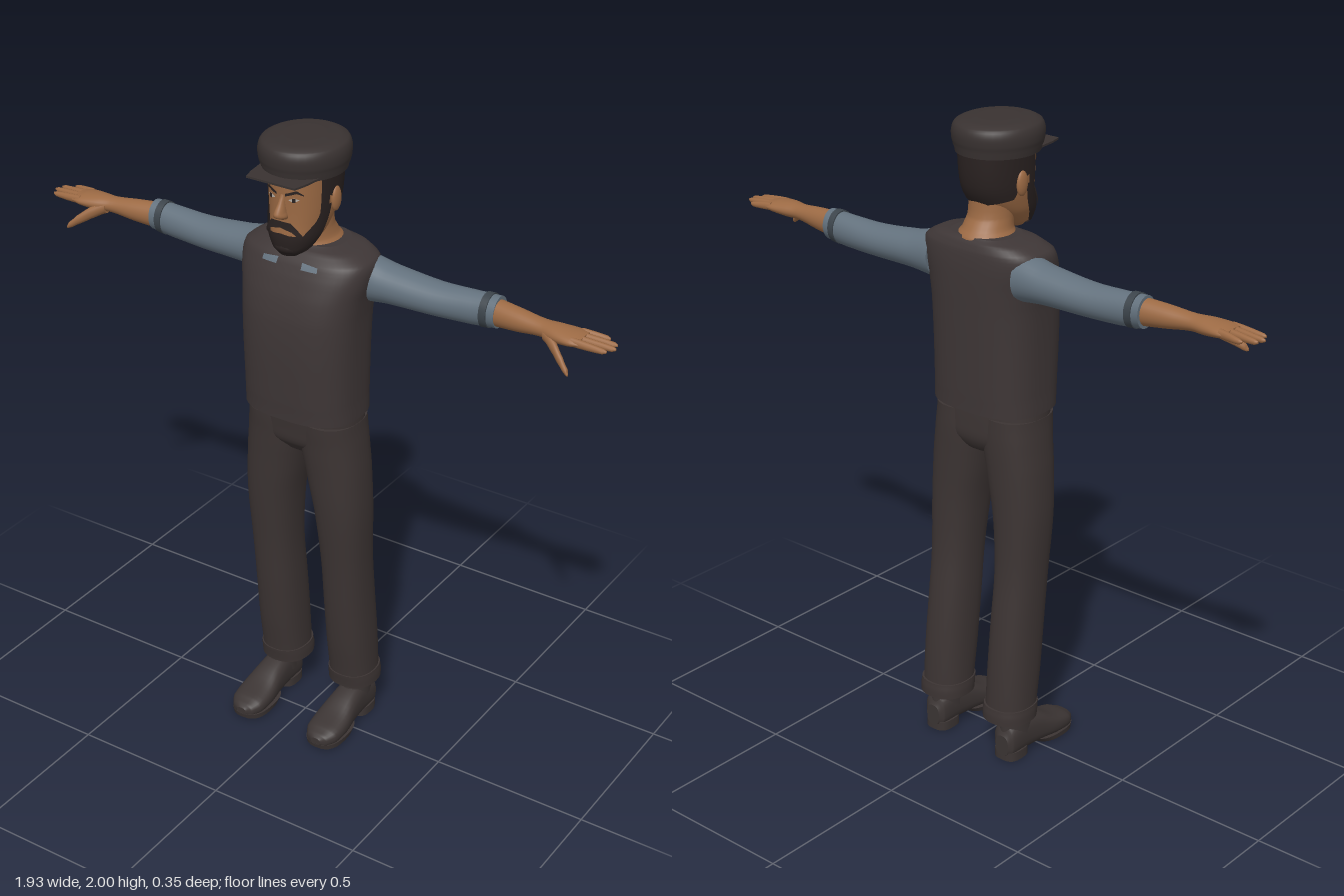
import * as THREE from 'three';

const material = (name, color, side = THREE.FrontSide) => {
  const m = new THREE.MeshStandardMaterial({ color, side });
  m.name = name;
  return m;
};

// A section is [t, centre, half-width, low, high]: t runs along the loft's axis.
// Smoothly interpolated section at position t.
function sectionAt(secs, t) {
  let k = 0;
  while (k < secs.length - 2 && t > secs[k + 1][0]) k++;
  const p = [k - 1, k, k + 1, k + 2].map(i => secs[Math.min(Math.max(i, 0), secs.length - 1)]);
  const f = THREE.MathUtils.clamp((t - p[1][0]) / (p[2][0] - p[1][0]), 0, 1);
  return [0, 1, 2, 3, 4].map(i => {
    if (i === 0) return t;
    const [a, b, c, d] = p.map(s => s[i]);
    return b + 0.5 * f * (c - a + f * (2 * a - 5 * b + 4 * c - d + f * (3 * (b - c) + d - a)));
  });
}

// Point on a superellipse section; angle 0 points to the high side.
function pointOn([t, c, r, lo, hi], a, e, axis, off = 0) {
  const w = v => Math.sign(v) * Math.abs(v) ** (2 / e);
  const p = c + (r + off) * w(Math.sin(a));
  const q = (lo + hi) / 2 + ((hi - lo) / 2 + off) * w(Math.cos(a));
  return axis === 'y' ? [p, t, q] : axis === 'x' ? [t, q, p] : [q, p, t];
}

function buildGeometry(pos, idx) {
  const g = new THREE.BufferGeometry();
  g.setAttribute('position', new THREE.Float32BufferAttribute(pos, 3));
  g.setIndex(idx);
  g.computeVertexNormals();
  return g;
}

// Closed solid through sections, with flat ends.
function loft(secs, { axis = 'y', e = 2, n = 28, sub = 4 } = {}) {
  const pos = [], idx = [], rings = [];
  for (let k = 0; k < secs.length - 1; k++)
    for (let j = k ? 1 : 0; j <= sub; j++)
      rings.push(sectionAt(secs, THREE.MathUtils.lerp(secs[k][0], secs[k + 1][0], j / sub)));
  const addRing = s => {
    const start = pos.length / 3;
    for (let i = 0; i < n; i++) pos.push(...pointOn(s, i / n * Math.PI * 2, e, axis));
    return start;
  };
  rings.forEach(addRing);
  for (let k = 0; k < rings.length - 1; k++)
    for (let i = 0; i < n; i++) {
      const a = k * n + i, b = k * n + (i + 1) % n;
      idx.push(a, b, b + n, a, b + n, a + n);
    }
  [rings[0], rings[rings.length - 1]].forEach((s, end) => {
    const start = addRing(s), centre = pos.length / 3;
    pos.push(...pointOn([s[0], s[1], 0, (s[3] + s[4]) / 2, (s[3] + s[4]) / 2], 0, 2, axis));
    for (let i = 0; i < n; i++) {
      const a = start + i, b = start + (i + 1) % n;
      end ? idx.push(a, b, centre) : idx.push(b, a, centre);
    }
  });
  return buildGeometry(pos, idx);
}

// Thin skin lying on a vertical loft, between bottom(a) and top(a).
function patch(secs, e, a0, a1, bottom, top, off, n = 32, m = 8) {
  const pos = [], idx = [];
  for (let j = 0; j <= m; j++)
    for (let i = 0; i <= n; i++) {
      const a = a0 + (a1 - a0) * i / n;
      const y = THREE.MathUtils.lerp(bottom(a), top(a), j / m);
      pos.push(...pointOn(sectionAt(secs, y), a, e, 'y', off));
      if (i < n && j < m) {
        const k = j * (n + 1) + i;
        idx.push(k, k + 1, k + n + 2, k, k + n + 2, k + n + 1);
      }
    }
  return buildGeometry(pos, idx);
}

function mirrored(geometry) {
  const g = geometry.clone().scale(-1, 1, 1), ix = g.index.array;
  for (let i = 0; i < ix.length; i += 3) [ix[i], ix[i + 1]] = [ix[i + 1], ix[i]];
  return g;
}

const ball = (x, y, z, sx, sy, sz) =>
  new THREE.SphereGeometry(1, 16, 12).scale(sx, sy, sz).translate(x, y, z);

// Linear curve through [x, y] pairs, symmetric in x.
const curve = pts => a => {
  const x = Math.abs(a);
  for (let i = 0; i < pts.length - 1; i++)
    if (x <= pts[i + 1][0])
      return THREE.MathUtils.mapLinear(x, pts[i][0], pts[i + 1][0], pts[i][1], pts[i + 1][1]);
  return pts[pts.length - 1][1];
};

export function createModel() {
  const model = new THREE.Group();
  model.name = 'man';
  const vestMat = material('vest cloth', 0x3e3636), trouserMat = material('trouser cloth', 0x3c3433);
  const capMat = material('cap cloth', 0x393231), shoeMat = material('shoe leather', 0x3b3433);
  const shirtMat = material('shirt cloth', 0x63717d), bandMat = material('sleeve band', 0x3c444b);
  const skin = material('skin', 0x9c6a44);
  const hairMat = material('hair', 0x2a2221, THREE.DoubleSide);
  const eyeMat = material('eye white', 0xb9b2a8);

  const add = (name, geometry, mat) => {
    const mesh = new THREE.Mesh(geometry, mat);
    mesh.name = name;
    model.add(mesh);
  };
  const pair = (name, geometry, mat) => {
    add(name + 'Left', geometry, mat);
    add(name + 'Right', mirrored(geometry), mat);
  };

  // Vest
  const vest = [[1.138, 0, .184, -.15, .127], [1.2, 0, .183, -.152, .132], [1.35, 0, .185, -.155, .139],
    [1.46, 0, .189, -.157, .136], [1.53, 0, .197, -.158, .122], [1.59, 0, .209, -.157, .1],
    [1.635, 0, .206, -.152, .078], [1.66, 0, .165, -.142, .052], [1.672, 0, .105, -.13, .03]];
  add('vest', loft(vest, { e: 2.7, n: 48 }), vestMat);
  pair('shirtCollar', patch(vest, 2.7, .11, .33, () => 1.62, a => 1.634 + .02 * (.33 - a), .004, 6, 2), shirtMat);

  // Trousers
  add('trouserSeat', loft([[.985, 0, .03, -.05, .02], [1.0, 0, .08, -.1, .05], [1.04, 0, .165, -.122, .083],
    [1.09, 0, .18, -.124, .092], [1.15, 0, .18, -.122, .1]], { e: 2.5, n: 40 }), trouserMat);
  pair('trouserLeg', loft([[.145, .128, .073, -.168, -.012], [.3, .128, .073, -.16, .012],
    [.45, .127, .072, -.145, .03], [.62, .127, .073, -.125, .047], [.8, .122, .083, -.12, .068],
    [.95, .105, .094, -.122, .08], [1.05, .092, .097, -.124, .088], [1.12, .09, .092, -.122, .095]],
    { e: 2.3 }), trouserMat);
  pair('trouserCuff', loft([[.135, .128, .079, -.176, -.012], [.16, .128, .079, -.176, -.008],
    [.182, .128, .077, -.173, -.004]], { e: 2.3 }), trouserMat);

  // Shoes
  pair('shoe', loft([[-.15, .05, .035, .118, .168], [-.135, .062, .053, .102, .183], [-.06, .07, .06, .098, .187],
    [0, .062, .052, .092, .193], [.06, .047, .037, .084, .202], [.12, .038, .028, .087, .199],
    [.15, .032, .02, .105, .18], [.16, .03, .012, .125, .16]], { axis: 'z', e: 2.6 }), shoeMat);
  pair('ankle', loft([[.07, .142, .044, -.145, -.01], [.13, .142, .042, -.142, -.025],
    [.2, .142, .04, -.14, -.035]]), shoeMat);
  pair('heel', loft([[0, .142, .043, -.15, -.055], [.03, .142, .043, -.15, -.055]], { e: 3, sub: 1 }), shoeMat);
  pair('sole', loft([[.004, .142, .058, 0, .156], [.022, .142, .061, -.02, .161]], { e: 2.6, sub: 1 }), shoeMat);

  // Arms
  pair('sleeve', loft([[.16, -.07, .066, 1.5, 1.645], [.25, -.072, .062, 1.51, 1.626],
    [.4, -.075, .054, 1.512, 1.612], [.52, -.078, .045, 1.516, 1.616], [.595, -.078, .041, 1.524, 1.62]],
    { axis: 'x' }), shirtMat);
  pair('sleeveBand', loft([[.55, -.078, .046, 1.517, 1.622], [.572, -.078, .045, 1.519, 1.623]],
    { axis: 'x', sub: 1 }), bandMat);
  pair('forearmAndHand', loft([[.57, -.076, .036, 1.53, 1.612], [.66, -.067, .034, 1.538, 1.606],
    [.74, -.06, .03, 1.549, 1.598], [.79, -.056, .041, 1.549, 1.598], [.84, -.055, .048, 1.555, 1.594],
    [.87, -.056, .044, 1.562, 1.588]], { axis: 'x' }), skin);
  // Each finger: base z, tip x, tip z
  [[-.089, .925, -.1], [-.067, .958, -.076], [-.045, .965, -.052], [-.023, .95, -.025]].forEach(([z, tx, tz], i) =>
    pair('finger' + (i + 1), loft([[.845, z, .011, 1.563, 1.59], [(.845 + tx) / 2, (z + tz) / 2, .0105, 1.563, 1.586],
      [tx - .01, tz, .008, 1.565, 1.581], [tx, tz, .003, 1.57, 1.577]], { axis: 'x', n: 10, sub: 2 }), skin));
  pair('thumb', loft([[.755, -.042, .018, 1.548, 1.588], [.8, -.015, .014, 1.527, 1.567],
    [.835, .008, .011, 1.508, 1.539], [.858, .02, .008, 1.496, 1.516], [.864, .024, .003, 1.496, 1.504]],
    { axis: 'x', n: 12 }), skin);

  // Neck and head
  add('neck', loft([[1.62, 0, .1, -.142, .04], [1.665, 0, .086, -.138, .038], [1.685, 0, .072, -.122, .035],
    [1.72, 0, .066, -.1, .04], [1.8, 0, .065, -.095, .05]]), skin);
  const head = [[1.662, 0, .026, .05, .1], [1.68, 0, .05, .01, .113], [1.72, 0, .073, -.045, .12],
    [1.76, 0, .083, -.085, .118], [1.8, 0, .089, -.108, .118], [1.85, 0, .092, -.118, .12],
    [1.92, 0, .094, -.122, .122]];
  const HE = 2.2;
  add('head', loft(head, { e: HE, n: 40 }), skin);
  add('nose', loft([[1.783, 0, .017, .1, .132], [1.792, 0, .019, .1, .15], [1.805, 0, .015, .1, .152],
    [1.83, 0, .01, .1, .135], [1.855, 0, .009, .1, .122]], { n: 16 }), skin);
  pair('ear', ball(.097, 1.82, -.008, .012, .038, .022).rotateX(0), skin);

  // Hair, beard and brows
  const hairline = curve([[0, 1.755], [1.25, 1.775], [1.55, 1.83], [1.8, 1.845], [1.95, 1.79]]);
  add('hair', patch(head, HE, 1.2, Math.PI * 2 - 1.2, a => hairline(Math.PI - a), () => 1.915, .006, 48), hairMat);
  add('sideburns', patch(head, HE, 1.15, 1.42, () => 1.78, () => 1.91, .007, 6), hairMat);
  model.children[model.children.length - 1].name = 'sideburnLeft';
  add('sideburnRight', mirrored(model.children[model.children.length - 1].geometry), hairMat);
  add('beard', patch(head, HE, -1.5, 1.5, curve([[0, 1.662], [1.1, 1.664], [1.5, 1.69]]),
    curve([[0, 1.738], [.3, 1.734], [.75, 1.735], [1.1, 1.775], [1.2, 1.815], [1.5, 1.815]]), .007, 48), hairMat);
  add('chin', ball(0, 1.69, .09, .046, .026, .035), hairMat);
  pair('moustache', patch(head, HE, 0, .72, curve([[0, 1.757], [.35, 1.748], [.72, 1.722]]),
    curve([[0, 1.777], [.3, 1.775], [.72, 1.736]]), .011, 12, 4), hairMat);
  pair('brow', patch(head, HE, .12, .66, curve([[.12, 1.853], [.45, 1.864], [.66, 1.856]]),
    curve([[.12, 1.861], [.45, 1.873], [.66, 1.859]]), .005, 10, 2), hairMat);
  pair('eye', patch(head, HE, .21, .53, curve([[.21, 1.841], [.37, 1.836], [.53, 1.843]]),
    curve([[.21, 1.843], [.37, 1.849], [.53, 1.844]]), .003, 8, 2), eyeMat);
  pair('iris', patch(head, HE, .32, .42, () => 1.836, () => 1.849, .005, 4, 2), hairMat);

  // Cap
  add('capBand', loft([[1.903, 0, .12, -.128, .132], [1.93, 0, .125, -.132, .137]], { n: 40, sub: 1 }), capMat);
  add('capCrown', loft([[1.922, 0, .126, -.133, .138], [1.94, 0, .13, -.137, .142], [1.965, 0, .13, -.138, .143],
    [1.985, 0, .122, -.13, .135], [1.996, 0, .1, -.106, .112], [2.0, 0, .06, -.062, .068]], { n: 40 }), capMat);
  const visor = new THREE.Shape();
  visor.moveTo(-.1, .06).lineTo(.1, .06).lineTo(.09, .14).lineTo(.08, .176).lineTo(-.08, .176).lineTo(-.09, .14);
  add('capVisor', new THREE.ExtrudeGeometry(visor, { depth: .006, bevelEnabled: false })
    .rotateX(Math.PI / 2).translate(0, 1.911, 0), capMat);
  return model;
}
